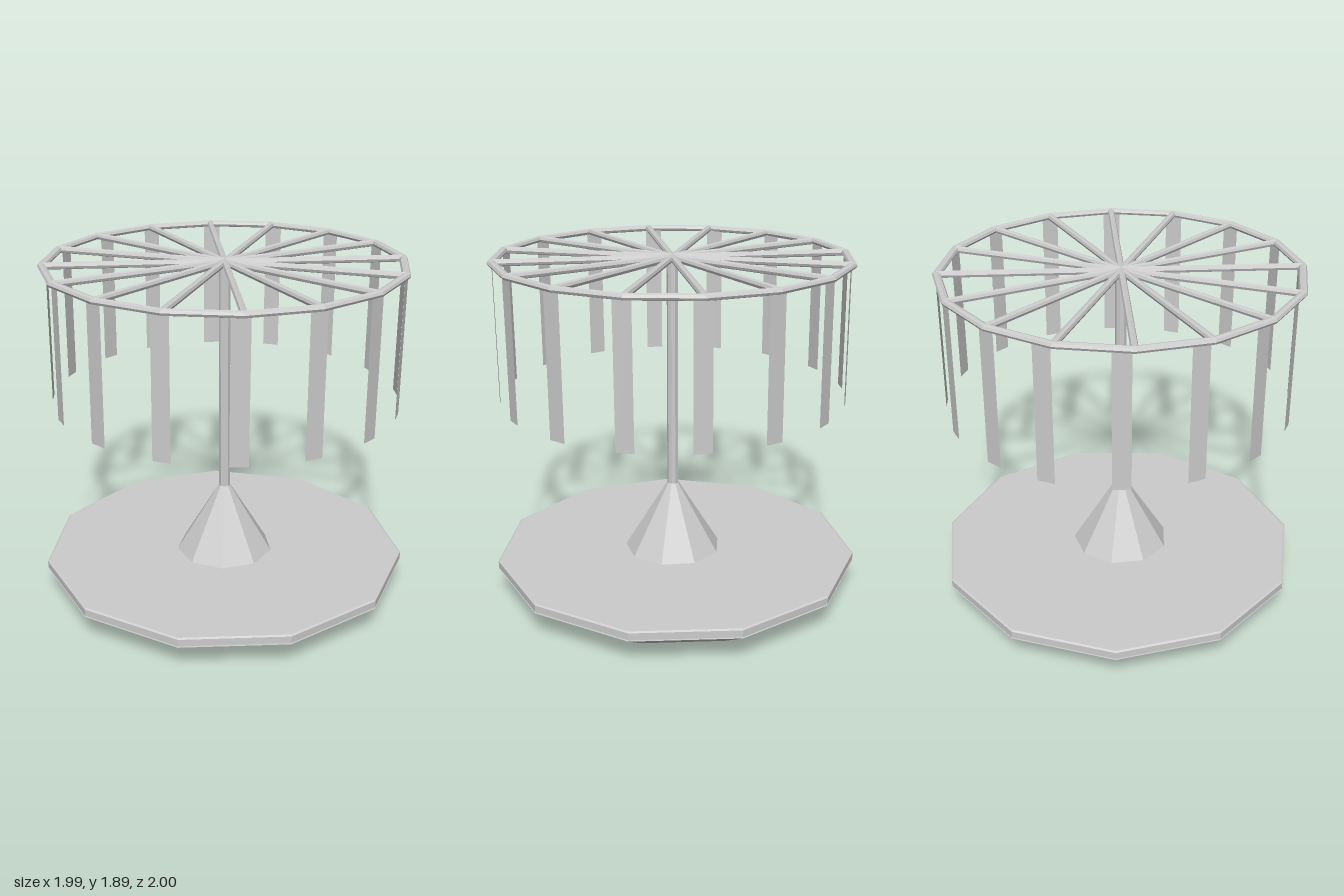
import * as THREE from 'three';

const RAD = Math.PI / 180;
const grey = new THREE.MeshStandardMaterial({ color: 0xcccccc, flatShading: true });
const sheet = new THREE.MeshStandardMaterial({ color: 0xcccccc, flatShading: true, side: THREE.DoubleSide });

// Faceted solid of revolution with a corner at the given angle (from +x towards +z)
function turned(name, profile, sides, cornerAngle, x, y, z) {
  const points = profile.map(([r, h]) => new THREE.Vector2(r, h));
  const mesh = new THREE.Mesh(new THREE.LatheGeometry(points, sides), grey);
  mesh.name = name;
  mesh.rotation.y = (90 - cornerAngle) * RAD;
  mesh.position.set(x, y, z);
  return mesh;
}

export function createModel() {
  const model = new THREE.Group();
  model.name = 'carousel';
  const cx = 0.031, cz = 0.004, topY = 1.867, ringR = 0.944;

  // Eleven-sided base: sloped dish below, platform above a narrow gap
  model.add(turned('baseDish', [[0, 0], [0.77, 0], [1.01, 0.148], [0, 0.148]], 11, 18.2, 0.0145, 0, -0.006));
  model.add(turned('platform',
    [[0, 0.156], [1.01, 0.156], [1.01, 0.194], [1.0, 0.2], [0, 0.2]], 11, 18.2, 0.0145, 0, -0.006));

  // Nine-sided cone and central pole
  model.add(turned('poleCone', [[0.27, 0.2], [0.032, 0.59], [0, 0.59]], 9, 0, cx, 0, cz));
  model.add(turned('pole', [[0.031, 0.55], [0.031, topY], [0, topY]], 9, 0, cx, 0, cz));

  // Top wheel: sixteen-sided tubular rim, a little wider than tall
  const rimProfile = [];
  for (let i = 0; i <= 8; i++) {
    const a = i * Math.PI / 4;
    rimProfile.push([ringR + 0.023 * Math.cos(a), 0.018 * Math.sin(a)]);
  }
  model.add(turned('rim', rimProfile, 16, 10, cx, topY, cz));

  // A spoke to every corner of the rim
  const spokes = new THREE.Group();
  spokes.name = 'spokes';
  spokes.position.set(cx, topY, cz);
  const spokeGeo = new THREE.CylinderGeometry(0.019, 0.019, ringR, 8)
    .rotateZ(-Math.PI / 2).translate(ringR / 2, 0, 0);
  for (let i = 0; i < 16; i++) {
    const spoke = new THREE.Mesh(spokeGeo, grey);
    spoke.name = 'spoke';
    spoke.rotation.y = -(10 + i * 22.5) * RAD;
    spokes.add(spoke);
  }
  model.add(spokes);

  // Hanging strips, very slightly tilted, spaced outwards from both sides of the +x axis
  const strips = new THREE.Group();
  strips.name = 'hangingStrips';
  strips.position.set(cx + 0.002, topY, -0.011);
  strips.rotation.set(-0.005, 0, -0.005);
  const stripGeo = new THREE.PlaneGeometry(0.093, 0.746)
    .rotateY(Math.PI / 2).translate(0.936, -0.373, 0);
  for (let i = -8; i < 8; i++) {
    const strip = new THREE.Mesh(stripGeo, sheet);
    strip.name = 'strip';
    strip.rotation.y = -(i + 0.5) * 22.73 * RAD;
    strips.add(strip);
  }
  model.add(strips);

  return model;
}
